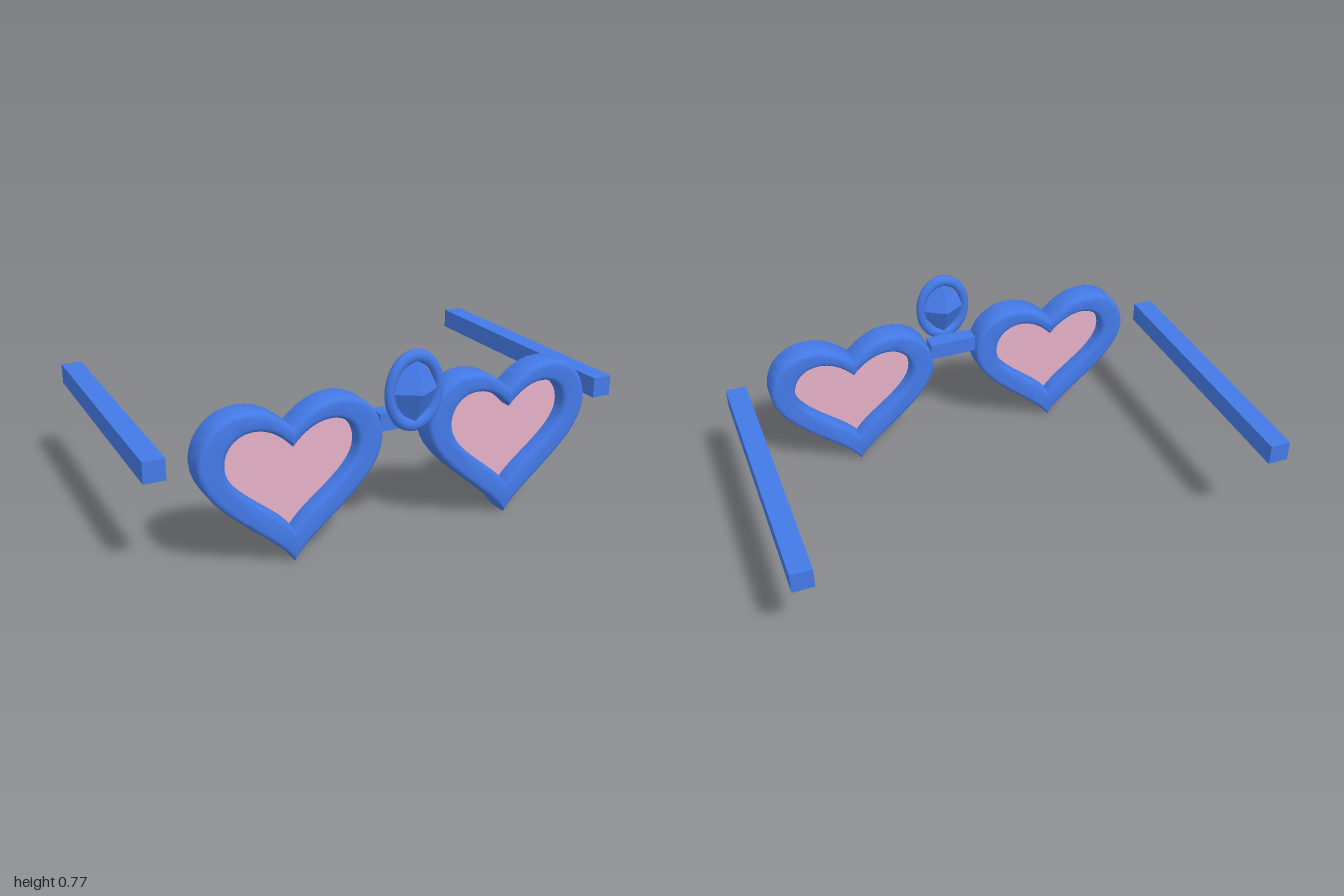
import * as THREE from 'three';
import { toCreasedNormals } from 'three/addons/utils/BufferGeometryUtils.js';

// Symmetric heart, counterclockwise, from one half given as cubic curves from notch to tip
function traceHeart(path, start, curves) {
  path.moveTo(start[0], start[1]);
  for (const [ax, ay, bx, by, ex, ey] of curves) path.bezierCurveTo(-ax, ay, -bx, by, -ex, ey);
  // mirrored half, walked back from the tip to the notch
  for (let i = curves.length - 1; i >= 0; i--) {
    const [ax, ay, bx, by] = curves[i];
    const [ex, ey] = i > 0 ? curves[i - 1].slice(4) : start;
    path.bezierCurveTo(bx, by, ax, ay, ex, ey);
  }
  return path;
}

const OUTER = [[0, 0.53], [
  [0.06, 0.585, 0.11, 0.615, 0.18, 0.615],
  [0.29, 0.615, 0.362, 0.53, 0.362, 0.43],
  [0.362, 0.26, 0.07, 0.12, 0, 0],
]];
const INNER = [[0, 0.455], [
  [0.04, 0.5, 0.09, 0.537, 0.15, 0.537],
  [0.215, 0.537, 0.26, 0.49, 0.26, 0.425],
  [0.26, 0.31, 0.06, 0.22, 0, 0.13],
]];

export function createModel() {
  const model = new THREE.Group();
  model.name = 'heartGlasses';

  const blue = new THREE.MeshStandardMaterial({ color: 0x447ae8 });
  blue.name = 'frameBlue';
  const pink = new THREE.MeshStandardMaterial({ color: 0xe4b0c6, side: THREE.DoubleSide });
  pink.name = 'lensPink';

  const add = (name, geometry, material, x, y, z) => {
    const mesh = new THREE.Mesh(geometry, material);
    mesh.name = name;
    mesh.position.set(x, y, z);
    model.add(mesh);
  };

  // Heart rim with rounded edges
  const rimShape = traceHeart(new THREE.Shape(), ...OUTER);
  rimShape.holes.push(traceHeart(new THREE.Path(), ...INNER));
  const bevel = 0.02;
  const rim = toCreasedNormals(new THREE.ExtrudeGeometry(rimShape, {
    depth: 0.082, curveSegments: 14,
    bevelThickness: bevel, bevelSize: bevel, bevelOffset: -bevel, bevelSegments: 4,
  }), 0.6);

  // Flat lens filling the rim
  const lens = new THREE.ShapeGeometry(traceHeart(new THREE.Shape(), ...INNER), 14);
  const temple = new THREE.BoxGeometry(0.084, 0.084, 1.162);

  for (const [side, s] of [['left', 1], ['right', -1]]) {
    add(side + 'Rim', rim, blue, s * 0.461, 0, 0.455);
    add(side + 'Lens', lens, pink, s * 0.461, 0, 0.496);
    add(side + 'Temple', temple, blue, s * 0.958, 0.441, -0.084);
  }

  // Bridge between the rims
  add('bridge', new THREE.BoxGeometry(0.205, 0.07, 0.07), blue, 0, 0.477, 0.496);

  // Oval ring holding a faceted gem
  const ring = new THREE.TorusGeometry(0.102, 0.0195, 14, 48);
  ring.scale(1, 1.3, 1);
  add('ornamentRing', ring, blue, 0, 0.612, 0.598);

  const gem = new THREE.OctahedronGeometry(1, 0);
  gem.scale(0.11, 0.147, 0.067);
  gem.computeVertexNormals();
  add('ornamentGem', gem, blue, 0, 0.612, 0.598);

  return model;
}
